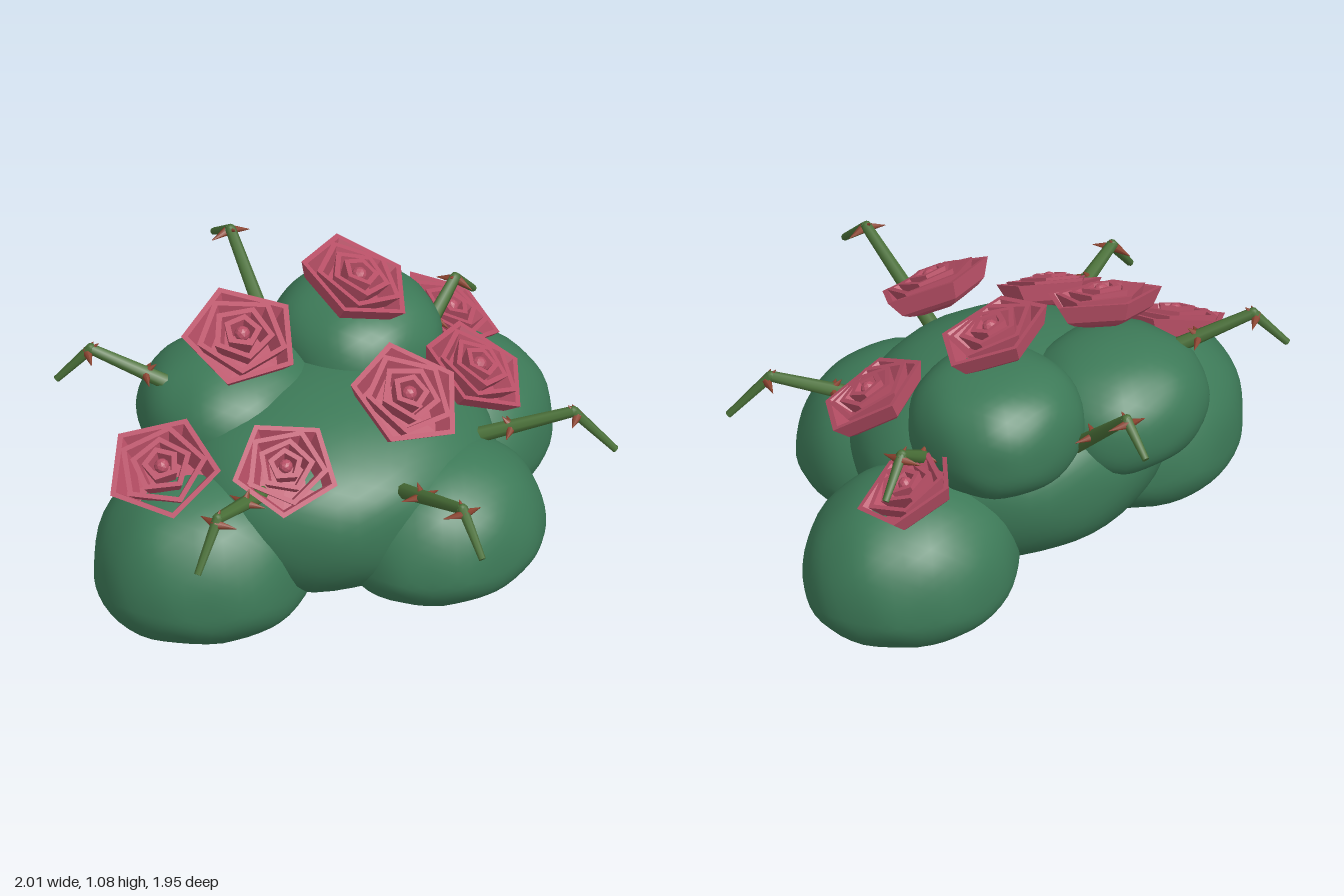
import * as THREE from 'three';
import { mergeVertices } from 'three/addons/utils/BufferGeometryUtils.js';

const mat = (name, color, extra = {}) => {
  const m = new THREE.MeshStandardMaterial({ color, ...extra });
  m.name = name;
  return m;
};
const UP = new THREE.Vector3(0, 1, 0);
const norm = (a, b, p) => Math.pow(Math.abs(a) ** p + Math.abs(b) ** p, 1 / p);

// Lumpy foliage mound filling a box: domed top, flattened underside, widest at height "waist"
function moundGeometry([x0, x1, y0, y1, z0, z1], plan, power, waist, seed) {
  let geo = new THREE.IcosahedronGeometry(1, 8);
  geo.deleteAttribute('uv');
  geo.deleteAttribute('normal');
  geo = mergeVertices(geo, 1e-4);
  const pos = geo.attributes.position, v = new THREE.Vector3();
  const yc = y0 + (y1 - y0) * waist;
  for (let i = 0; i < pos.count; i++) {
    v.fromBufferAttribute(pos, i).normalize();
    const lump = 0.985 + 0.015 * Math.sin(v.x * 7 + seed) * Math.sin(v.z * 8 + seed * 2) * Math.cos(v.y * 5);
    const s = lump / norm(norm(v.x, v.z, plan), v.y, power);
    const y = v.y * s;
    pos.setXYZ(i,
      (x0 + x1) / 2 + v.x * s * (x1 - x0) / 2,
      yc + (y > 0 ? y * (y1 - yc) : Math.max(y * 1.25, -1) * (yc - y0)),
      (z0 + z1) / 2 + v.z * s * (z1 - z0) / 2);
  }
  geo.computeVertexNormals();
  return geo;
}

const lathe = (points) => new THREE.LatheGeometry(points.map(([r, y]) => new THREE.Vector2(r, y)), 5);

// Five-sided petal ring with a thick rim
const petalRing = (r, y, h, wall) => lathe(
  [[r * 0.82 - wall, y], [r * 0.82, y], [r, y + h], [r - wall, y + h], [r * 0.82 - wall, y]]);

export function createModel() {
  const model = new THREE.Group();
  model.name = 'roseBush';
  const leaf = mat('foliage green', 0x3d7a58);
  const petal = mat('petal pink', 0xb84f66, { flatShading: true, side: THREE.DoubleSide });
  const stem = mat('stem green', 0x4a7038);
  const spike = mat('thorn brown', 0x8c4430);

  const add = (parent, geo, material, name) => {
    const m = new THREE.Mesh(geo, material);
    m.name = name;
    parent.add(m);
    return m;
  };

  // Foliage mounds: x, y and z ranges, squareness in plan and in height, waist height
  const mounds = [
    ['centreFoliage', [-0.66, 0.56, 0.08, 0.75, -0.61, 0.47], 2, 2.1, 0.5],
    ['frontFoliage', [-0.28, 0.51, 0.07, 0.58, -0.05, 0.67], 2, 2.1, 0.32],
    ['rightFoliage', [-1.01, -0.15, 0, 0.57, -0.53, 0.25], 1.85, 2.25, 0.33],
    ['leftFoliage', [0.16, 1.01, 0, 0.54, -0.57, 0.17], 1.85, 2.15, 0.32],
    ['backRightFoliage', [-0.58, 0.09, 0.39, 0.82, -0.7, -0.07], 2.2, 2.2, 0.42],
    ['backLeftFoliage', [-0.05, 0.55, 0.49, 0.91, -0.59, 0.01], 2.3, 2.5, 0.42],
  ];
  mounds.forEach(([name, box, plan, power, waist], i) =>
    add(model, moundGeometry(box, plan, power, waist, i * 1.7), leaf, name));

  // Roses: centre, facing direction, size, spin
  const roses = [
    [[-0.72, 0.59, -0.21], [-0.42, 1, 0.32], 0.21, 0.4],
    [[-0.29, 0.92, -0.28], [-0.2, 1, 0.36], 0.215, 0],
    [[0.19, 0.98, -0.22], [0.25, 1, 0.36], 0.215, 0],
    [[0.68, 0.59, -0.29], [0.42, 1, 0.34], 0.2, 0.5],
    [[-0.47, 0.67, 0.16], [-0.38, 1, 0.5], 0.195, 0.2],
    [[-0.02, 0.84, 0.29], [0, 1, 0.6], 0.215, 0],
    [[0.44, 0.67, 0.13], [0.36, 1, 0.5], 0.21, 0],
  ];
  const rings = [1, 0.78, 0.54, 0.33];
  roses.forEach(([at, facing, size, spin]) => {
    const rose = new THREE.Group();
    rose.name = 'rose';
    rings.forEach((r, i) => {
      const ring = add(rose, petalRing(r, -0.2 + i * 0.05, 0.3, 0.11), petal, 'petalRing');
      ring.rotation.y = i * 0.25;
    });
    // Rounded underside, closed floor and the bud in the middle
    add(rose, lathe([[0, -0.4], [0.4, -0.37], [0.68, -0.28], [0.82, -0.2], [0, -0.18]]), petal, 'roseBase');
    add(rose, new THREE.IcosahedronGeometry(0.13, 1), petal, 'bud').position.y = 0.16;
    rose.position.set(...at);
    rose.scale.setScalar(size);
    rose.quaternion.setFromUnitVectors(UP, new THREE.Vector3(...facing).normalize());
    rose.rotateY(Math.PI / 2 + spin);
    model.add(rose);
  });

  // Tapered rod from a to b
  const rod = (parent, a, b, ra, rb, material, name) => {
    const d = b.clone().sub(a);
    const m = add(parent, new THREE.CylinderGeometry(rb, ra, d.length(), 7), material, name);
    m.position.copy(a).addScaledVector(d, 0.5);
    m.quaternion.setFromUnitVectors(UP, d.normalize());
  };

  // Thorny shoots: root, bend, drooping tip
  const shoots = [
    [[0.07, 0.58, -0.5], [0.15, 0.9, -0.84], [0.185, 0.81, -0.97]],
    [[-0.44, 0.7, -0.43], [-0.67, 0.86, -0.65], [-0.76, 0.73, -0.73]],
    [[-0.55, 0.59, 0.13], [-0.83, 0.65, 0.21], [-0.96, 0.49, 0.25]],
    [[-0.12, 0.53, 0.35], [-0.22, 0.73, 0.82], [-0.25, 0.6, 0.96]],
    [[0.3, 0.52, 0.27], [0.57, 0.63, 0.51], [0.68, 0.47, 0.61]],
    [[0.48, 0.59, -0.21], [0.7, 0.74, -0.27], [0.82, 0.62, -0.31]],
  ];
  shoots.forEach((points) => {
    const shoot = new THREE.Group();
    shoot.name = 'thornyShoot';
    const [a, b, c] = points.map((p) => new THREE.Vector3(...p));
    rod(shoot, a, b, 0.03, 0.02, stem, 'shootStem');
    rod(shoot, b, c, 0.02, 0.013, stem, 'shootTip');
    add(shoot, new THREE.SphereGeometry(0.02, 7, 5), stem, 'shootBend').position.copy(b);
    // Thorns in sideways pairs, swept back, with one on top
    const along = b.clone().sub(a).normalize();
    const side = along.clone().cross(UP).normalize();
    const top = side.clone().cross(along);
    [a.clone().lerp(b, 0.4), b.clone().lerp(c, 0.1)].forEach((p) => {
      [side, side.clone().negate(), top].forEach((dir, i) => {
        const end = p.clone().addScaledVector(dir, i < 2 ? 0.075 : 0.05).addScaledVector(along, -0.02);
        rod(shoot, p, end, 0.019, 0.001, spike, 'thorn');
      });
    });
    model.add(shoot);
  });
  return model;
}
